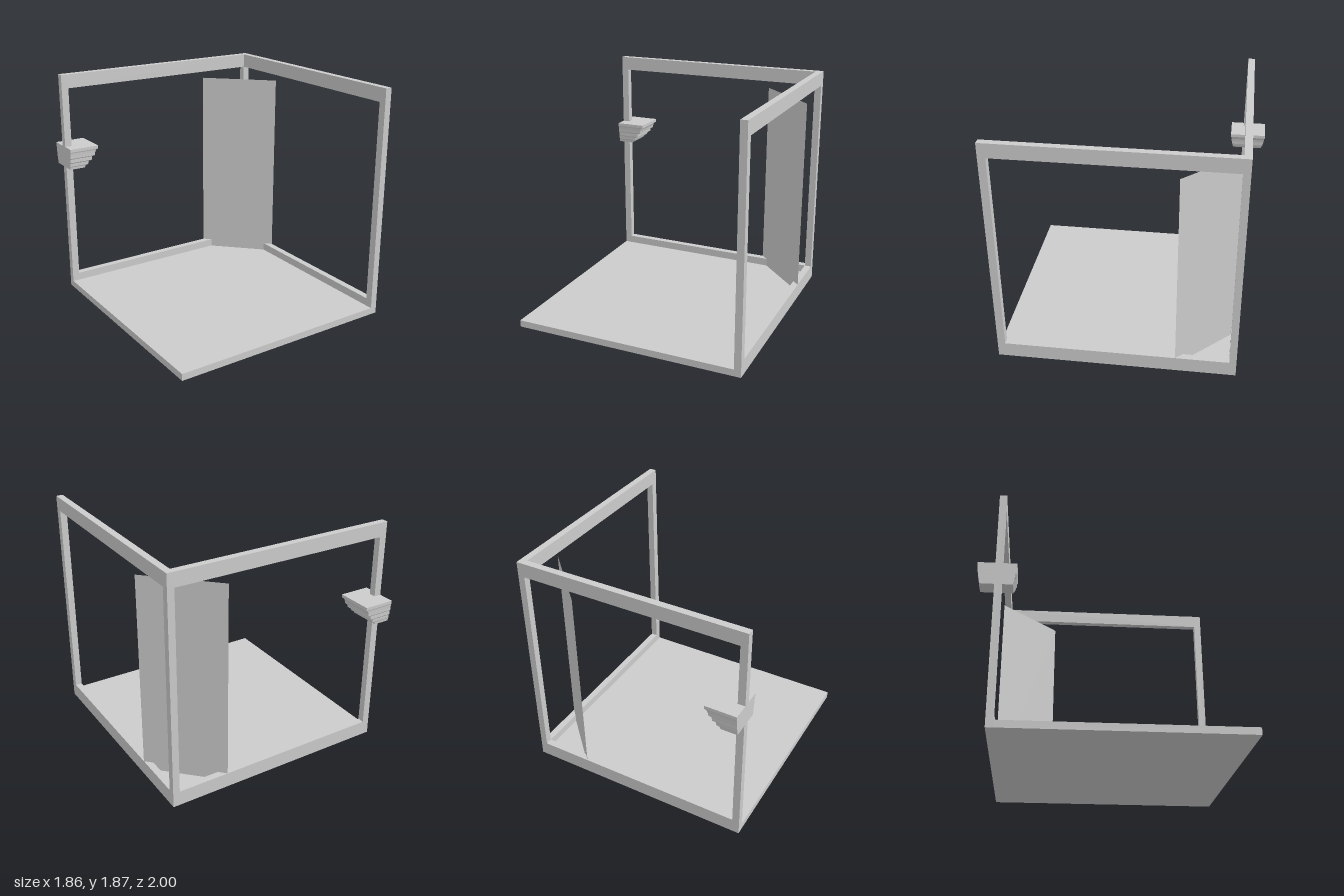
import * as THREE from 'three';

const T = 0.055;              // thickness of floor and walls
const X = 0.93, BACK = -0.87, FRONT = 1;
const TOP = 1.87, RAIL_LOW = 0.12, RAIL_HIGH = 1.757;

const material = new THREE.MeshStandardMaterial({ color: 0xcccccc });
const sheetMaterial = new THREE.MeshStandardMaterial({ color: 0xcccccc, side: THREE.DoubleSide });

function add(group, name, geometry, mat = material) {
  const mesh = new THREE.Mesh(geometry, mat);
  mesh.name = name;
  group.add(mesh);
  return mesh;
}

function outline(points) {
  return points.map(([x, y]) => new THREE.Vector2(x, y));
}

function extrude(shape) {
  return new THREE.ExtrudeGeometry(shape, { depth: T, bevelEnabled: false });
}

// Stepped moulding: inset from the top edge and height, from bottom to top
const MOULDING = [
  [0.12, 1.095], [0.11, 1.115], [0.09, 1.122], [0.083, 1.148], [0.057, 1.155],
  [0.055, 1.185], [0.032, 1.192], [0.028, 1.215], [0.018, 1.238], [0, 1.247], [0, 1.272],
];

// Box whose rows follow the moulding; the -x side stays flat, the ends taper slightly
function bracketGeometry() {
  const rows = MOULDING.length - 1;
  const geometry = new THREE.BoxGeometry(1, 1, 1, 1, rows, 1);
  const p = geometry.attributes.position;
  for (let i = 0; i < p.count; i++) {
    const [inset, y] = MOULDING[Math.round((p.getY(i) + 0.5) * rows)];
    const x = p.getX(i) < 0 ? -X : -0.682 - inset;
    const z = -0.855 + Math.sign(p.getZ(i)) * (0.145 - 0.2 * inset);
    p.setXYZ(i, x, y, z);
  }
  const flat = geometry.toNonIndexed();
  flat.computeVertexNormals();
  return flat;
}

export function createModel() {
  const group = new THREE.Group();
  group.name = 'openRoom';

  // Floor slab inside the two walls
  const floorW = 2 * X - T, floorD = FRONT - BACK - T;
  add(group, 'floor', new THREE.BoxGeometry(floorW, T, floorD))
    .position.set(-T / 2, T / 2, (FRONT + BACK + T) / 2);

  // Back wall: frame around a large opening
  const back = new THREE.Shape(outline([[-X, 0], [X, 0], [X, TOP], [-X, TOP]]));
  back.holes.push(new THREE.Path(outline([
    [-0.872, RAIL_LOW], [-0.872, RAIL_HIGH], [X - T, RAIL_HIGH], [X - T, RAIL_LOW],
  ])));
  add(group, 'backWallFrame', extrude(back)).position.z = BACK;

  // Side wall: C-shaped frame that meets the back wall's corner post (drawn in -z, y)
  const end = -(BACK + T);
  const side = new THREE.Shape(outline([
    [-FRONT, 0], [end, 0], [end, RAIL_LOW], [-0.94, RAIL_LOW],
    [-0.94, RAIL_HIGH], [end, RAIL_HIGH], [end, TOP], [-FRONT, TOP],
  ]));
  const sideWall = add(group, 'sideWallFrame', extrude(side));
  sideWall.rotation.y = Math.PI / 2;
  sideWall.position.x = X - T;

  // Thin upright panel set diagonally across the corner
  const run = 0.47, height = 1.69 - T;
  const panel = add(group, 'cornerPanel', new THREE.PlaneGeometry(run * Math.SQRT2, height), sheetMaterial);
  panel.rotation.y = -Math.PI / 4;
  panel.position.set(X - run / 2, T + height / 2, BACK + run / 2);

  // Moulded bracket around the free post
  add(group, 'mouldedBracket', bracketGeometry());

  return group;
}
